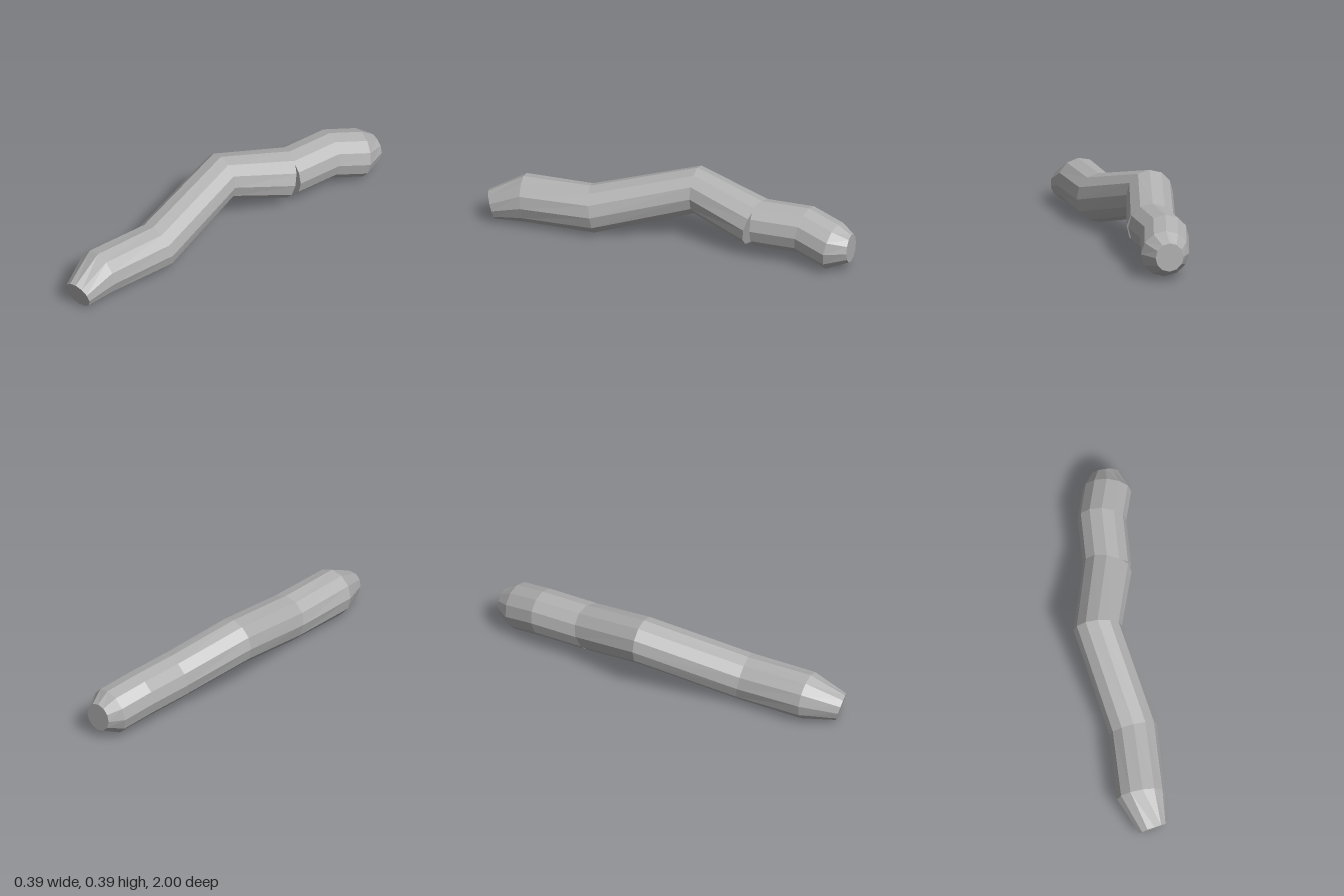
import * as THREE from 'three';

const SIDES = 12;

// A ring: centre x, y, z, radius, slopes of z across x and y (mitre tilt), twist
function ringPoints({ c, r, tx = 0, ty = 0, twist = 0 }) {
  return Array.from({ length: SIDES }, (_, j) => {
    const a = (j / SIDES) * Math.PI * 2 - twist;
    const dx = r * Math.cos(a), dy = r * Math.sin(a);
    return [c[0] + dx, c[1] + dy, c[2] + tx * dx + ty * dy];
  });
}

// Capped faceted tube through rings ordered from front to back
function facetedTube(rings) {
  const pos = [];
  const tri = (...pts) => pts.forEach((p) => pos.push(...p));
  const loops = rings.map(ringPoints);
  const last = loops.length - 1;
  for (let j = 0; j < SIDES; j++) {
    const k = (j + 1) % SIDES;
    for (let i = 0; i < last; i++) {
      const [p, q] = [loops[i], loops[i + 1]];
      tri(p[j], q[j], q[k]);
      tri(p[j], q[k], p[k]);
    }
    tri(rings[0].c, loops[0][j], loops[0][k]);
    tri(rings[last].c, loops[last][k], loops[last][j]);
  }
  const geo = new THREE.BufferGeometry();
  geo.setAttribute('position', new THREE.Float32BufferAttribute(pos, 3));
  geo.computeVertexNormals();
  return geo;
}

export function createModel() {
  const group = new THREE.Group();
  group.name = 'bentStick';
  const grey = new THREE.MeshStandardMaterial({ color: 0xb0b0b0 });
  grey.name = 'grey';
  grey.flatShading = true;

  const add = (name, rings) => {
    const mesh = new THREE.Mesh(facetedTube(rings), grey);
    mesh.name = name;
    group.add(mesh);
  };

  // Long front piece: tapered tip, straight run, rise to the bend, fall to the joint
  add('frontSection', [
    { c: [0.111, 0.083, 0.977], r: 0.074, tx: -0.25, ty: 0.3, twist: 0.1 },
    { c: [0.066, 0.128, 0.805], r: 0.127, tx: -0.07, ty: 0.09, twist: 0.06 },
    { c: [0.064, 0.128, 0.43], r: 0.127, tx: -0.15, ty: 0.15 },
    { c: [-0.068, 0.262, -0.1], r: 0.127 },
    { c: [0.02, 0.175, -0.46], r: 0.125, tx: 0.25, ty: -0.25 },
  ]);

  // Short rear piece with a squared start and a tapered end
  add('rearSection', [
    { c: [0.02, 0.175, -0.463], r: 0.126 },
    { c: [0.02, 0.175, -0.732], r: 0.126, tx: 0.14, ty: -0.14 },
    { c: [0.065, 0.13, -0.907], r: 0.126, tx: 0.15, ty: -0.15 },
    { c: [0.065, 0.13, -1], r: 0.076 },
  ]);

  return group;
}
